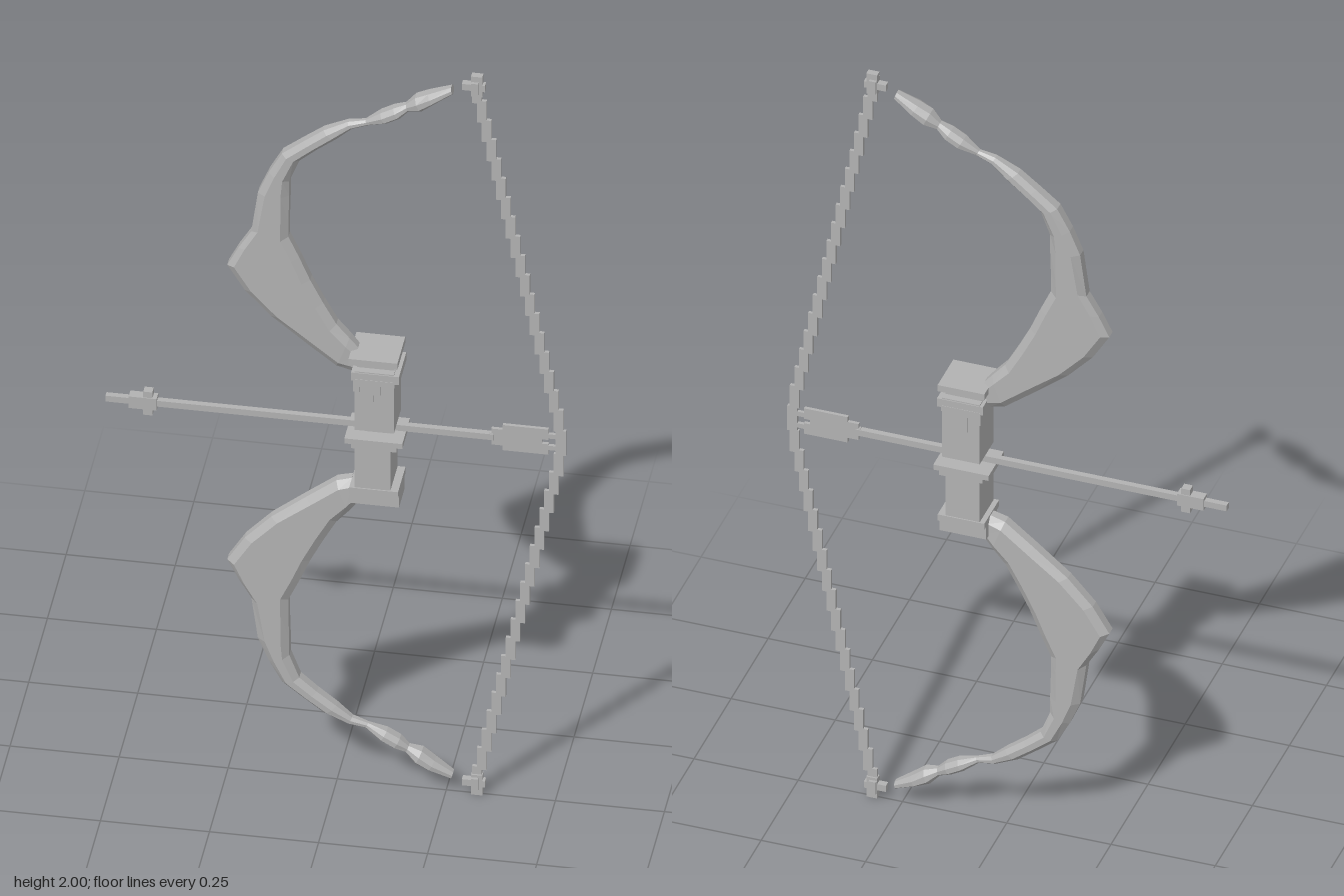
import * as THREE from 'three';

const grey = new THREE.MeshStandardMaterial({ color: 0xb2b2b2, flatShading: true, side: THREE.DoubleSide });
grey.name = 'plain grey';

// Box given by its x and y limits and half depth, centred on z = 0
function slab(parent, name, x0, x1, y0, y1, halfZ) {
  const m = new THREE.Mesh(new THREE.BoxGeometry(x1 - x0, y1 - y0, halfZ * 2), grey);
  m.position.set((x0 + x1) / 2, (y0 + y1) / 2, 0);
  m.name = name;
  parent.add(m);
  return m;
}

// Bevelled limb through stations: outer x, outer y, inner x, inner y, half depth
function limbGeometry(stations) {
  const pos = [], idx = [], n = 8;
  for (const [ox, oy, ix, iy, d] of stations) {
    const w = Math.hypot(ix - ox, iy - oy);
    const b = Math.min(0.018 / w, 0.3);
    const ring = [[0, 0.45], [b, 1], [1 - b, 1], [1, 0.45], [1, -0.45], [1 - b, -1], [b, -1], [0, -0.45]];
    for (const [t, z] of ring) pos.push(ox + (ix - ox) * t, oy + (iy - oy) * t, z * d);
  }
  for (let s = 0; s < stations.length - 1; s++) {
    for (let i = 0; i < n; i++) {
      const a = s * n + i, b = s * n + (i + 1) % n;
      idx.push(a, b, a + n, b, b + n, a + n);
    }
  }
  const last = (stations.length - 1) * n;
  for (let i = 1; i < n - 1; i++) {
    idx.push(0, i + 1, i, last, last + i, last + i + 1);
  }
  const g = new THREE.BufferGeometry();
  g.setAttribute('position', new THREE.Float32BufferAttribute(pos, 3));
  g.setIndex(idx);
  const flat = g.toNonIndexed();
  flat.computeVertexNormals();
  return flat;
}

// Upper limb, from grip to tip, ending in small beads
const LIMB = [
  [0.035, 1.15, 0.05, 1.215, 0.022],
  [0.0, 1.16, 0.03, 1.24, 0.025],
  [-0.07, 1.215, 0.0, 1.275, 0.025],
  [-0.15, 1.28, -0.03, 1.33, 0.025],
  [-0.21, 1.345, -0.06, 1.39, 0.025],
  [-0.25, 1.41, -0.085, 1.45, 0.025],
  [-0.225, 1.46, -0.11, 1.505, 0.025],
  [-0.195, 1.51, -0.11, 1.55, 0.025],
  [-0.18, 1.62, -0.108, 1.62, 0.025],
  [-0.155, 1.68, -0.108, 1.66, 0.025],
  [-0.125, 1.735, -0.085, 1.72, 0.025],
  [-0.075, 1.775, -0.045, 1.755, 0.024],
  [-0.03, 1.81, 0.0, 1.79, 0.022],
  [0.025, 1.838, 0.035, 1.82, 0.014],
  [0.065, 1.846, 0.072, 1.833, 0.009],
  [0.1, 1.873, 0.115, 1.847, 0.022],
  [0.13, 1.89, 0.145, 1.864, 0.022],
  [0.158, 1.902, 0.165, 1.884, 0.013],
  [0.18, 1.926, 0.196, 1.892, 0.025],
  [0.21, 1.94, 0.225, 1.915, 0.025],
  [0.262, 1.962, 0.267, 1.945, 0.014],
];

// Limb, stepped string and string end for the upper half
function bowHalf(name) {
  const half = new THREE.Group();
  half.name = name;
  const limb = new THREE.Mesh(limbGeometry(LIMB), grey);
  limb.name = 'limb';
  half.add(limb);

  const steps = 18;
  for (let i = 0; i < steps; i++) {
    const x = 0.508 - i * (0.187 / (steps - 1));
    const y = 1.035 + i * 0.0525;
    slab(half, 'stringStep', x - 0.011, x + 0.011, y - 0.004, y + 0.0565, 0.004);
  }
  slab(half, 'stringEndTop', 0.308, 0.334, 1.945, 2.0, 0.008);
  slab(half, 'stringEndKnob', 0.309, 0.326, 1.952, 1.985, 0.015);
  slab(half, 'stringEndHook', 0.287, 0.34, 1.96, 1.977, 0.008);
  return half;
}

function createModel() {
  const model = new THREE.Group();
  model.name = 'bowAndArrow';

  const upper = bowHalf('upperHalf');
  const lower = bowHalf('lowerHalf');
  // Turning about x mirrors the half vertically, as it is symmetric in z
  lower.rotation.x = Math.PI;
  lower.position.y = 2;
  model.add(upper, lower);

  // Grip blocks with a slot for the arrow between them
  const grip = new THREE.Group();
  grip.name = 'grip';
  model.add(grip);
  slab(grip, 'gripCore', 0.07, 0.12, 0.97, 1.03, 0.015);
  slab(grip, 'upperBlock', 0.048, 0.138, 1.012, 1.175, 0.047);
  slab(grip, 'upperNeck', 0.05, 0.136, 1.17, 1.2, 0.03);
  slab(grip, 'capPlate', 0.035, 0.147, 1.195, 1.212, 0.053);
  slab(grip, 'capBand', 0.04, 0.15, 1.15, 1.172, 0.049);
  slab(grip, 'lowerBlock', 0.048, 0.13, 0.84, 0.975, 0.047);
  slab(grip, 'shelf', 0.025, 0.158, 0.974, 0.988, 0.051);
  slab(grip, 'shelfRim', 0.04, 0.145, 0.962, 0.976, 0.05);
  slab(grip, 'footBand', 0.036, 0.148, 0.835, 0.852, 0.05);
  slab(grip, 'foot', 0.036, 0.148, 0.8, 0.836, 0.037);

  // Ragged binding hanging below the cap
  const drips = [[0.045, 0.06, 1.12], [0.06, 0.076, 1.135], [0.076, 0.092, 1.095],
    [0.092, 0.108, 1.115], [0.108, 0.14, 1.14]];
  for (const [x0, x1, y0] of drips) slab(grip, 'binding', x0, x1, y0, 1.155, 0.05);

  // Arrow with collared head, fletching and forked nock
  const arrow = new THREE.Group();
  arrow.name = 'arrow';
  model.add(arrow);
  slab(arrow, 'shaft', -0.53, 0.36, 0.992, 1.008, 0.007);
  slab(arrow, 'headCollar', -0.476, -0.412, 0.984, 1.016, 0.012);
  slab(arrow, 'headBarb', -0.443, -0.422, 0.968, 1.032, 0.01);
  slab(arrow, 'rearShaft', 0.35, 0.47, 0.99, 1.01, 0.004);
  for (const s of [-1, 1]) {
    const fin = slab(arrow, 'fletching', 0.38, 0.485, 1.006, 1.035, 0.004);
    const step = slab(arrow, 'fletchingStep', 0.354, 0.382, 1.006, 1.022, 0.004);
    const fork = slab(arrow, 'nockFork', 0.465, 0.505, 1.01, 1.022, 0.004);
    for (const p of [fin, step, fork]) p.position.y = 1 + s * (p.position.y - 1);
  }
  slab(model, 'stringCentre', 0.501, 0.525, 0.966, 1.034, 0.004);

  return model;
}

export { createModel };
